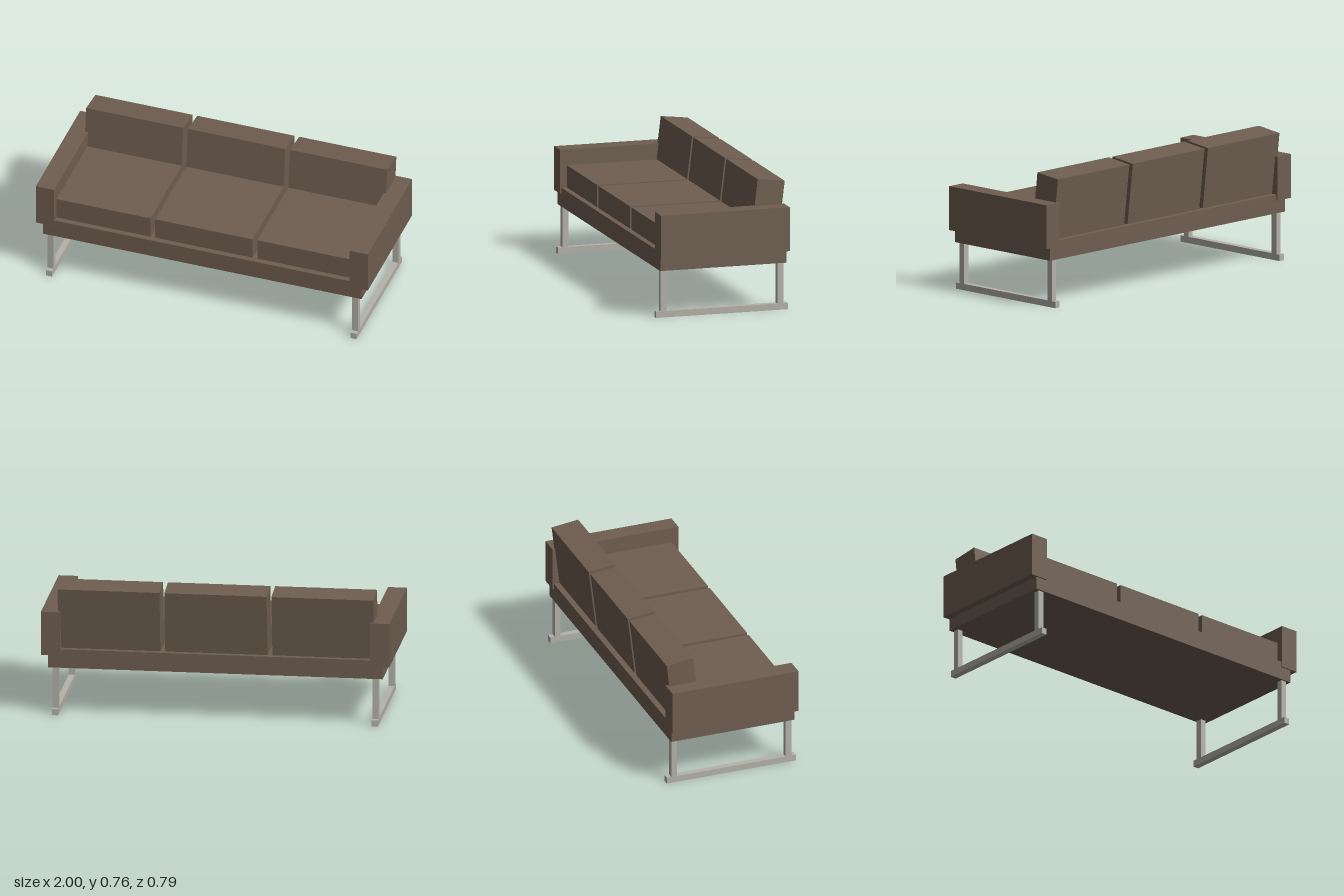
import * as THREE from 'three';

export function createModel() {
  const sofa = new THREE.Group();
  sofa.name = 'sofa';

  const upholstery = new THREE.MeshStandardMaterial({ color: 0x6f5e50 });
  upholstery.name = 'brown upholstery';
  const metal = new THREE.MeshStandardMaterial({ color: 0xb4b2a9 });
  metal.name = 'brushed metal';

  // Box given by its minimum and maximum along each axis
  function block(name, material, [x0, x1], [y0, y1], [z0, z1]) {
    const mesh = new THREE.Mesh(new THREE.BoxGeometry(x1 - x0, y1 - y0, z1 - z0), material);
    mesh.position.set((x0 + x1) / 2, (y0 + y1) / 2, (z0 + z1) / 2);
    mesh.name = name;
    sofa.add(mesh);
    return mesh;
  }

  block('seatBase', upholstery, [-0.96, 0.96], [0.277, 0.386], [-0.376, 0.377]);

  // Three seat cushions, each with a leaning back cushion
  for (const [x0, x1] of [[-0.908, -0.323], [-0.295, 0.292], [0.32, 0.905]]) {
    block('seatCushion', upholstery, [x0, x1], [0.386, 0.515], [-0.2, 0.344]);

    const back = new THREE.Mesh(new THREE.BoxGeometry(x1 - x0, 0.37, 0.163), upholstery);
    back.position.set((x0 + x1) / 2, 0.568, -0.281);
    back.rotation.x = -0.119;
    back.name = 'backCushion';
    sofa.add(back);
  }

  // Arms and sled legs, mirrored
  for (const side of [-1, 1]) {
    const span = (a, b) => (side > 0 ? [a, b] : [-b, -a]);
    block('armrest', upholstery, span(0.89, 1), [0.352, 0.607], [-0.384, 0.385]);
    block('legRunner', metal, span(0.9, 0.935), [0, 0.037], [-0.393, 0.394]);
    block('frontLeg', metal, span(0.9, 0.935), [0.037, 0.277], [0.331, 0.367]);
    block('backLeg', metal, span(0.9, 0.935), [0.037, 0.277], [-0.366, -0.33]);
  }

  return sofa;
}
